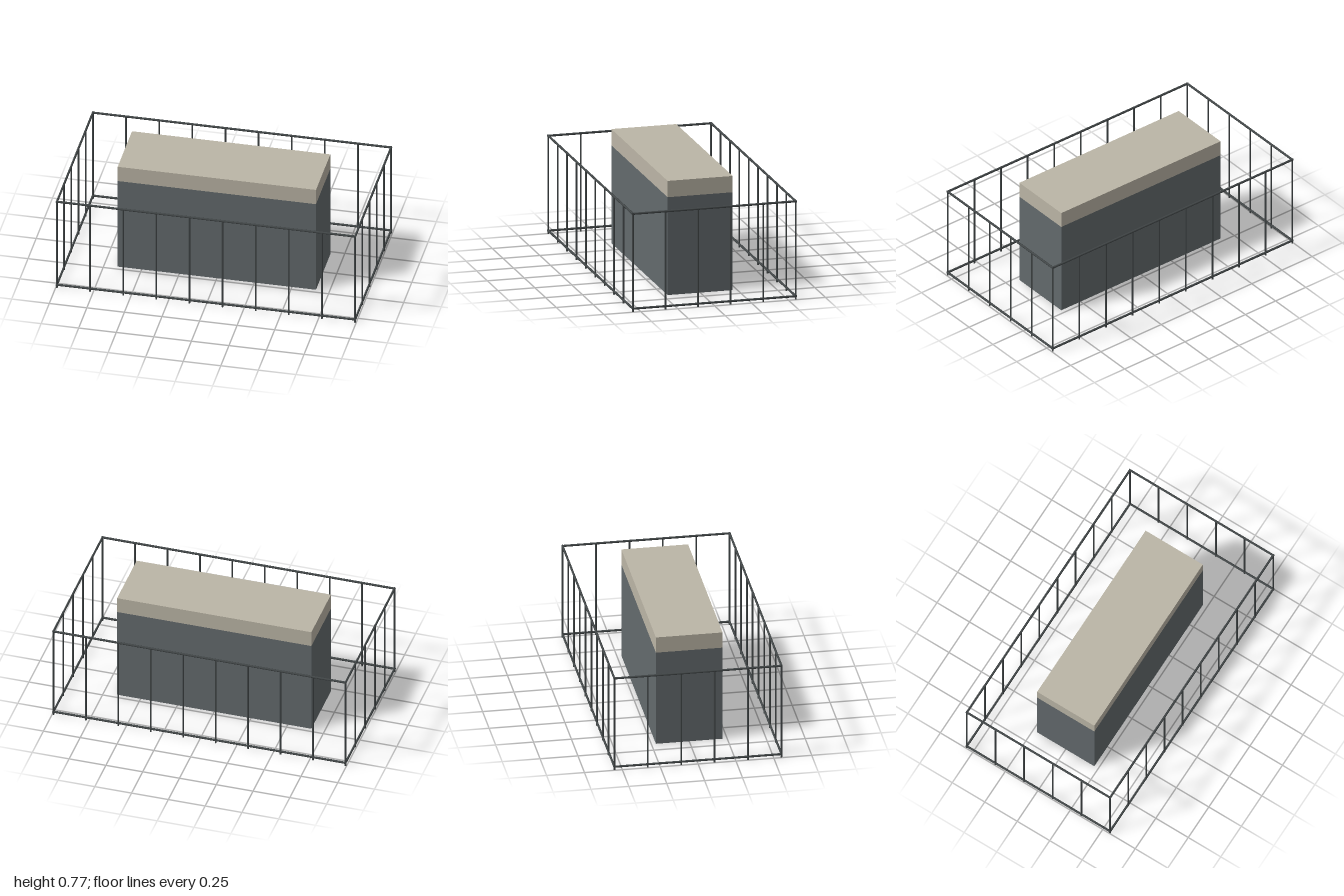
import * as THREE from 'three';

const railColor = new THREE.MeshStandardMaterial({ name: 'dark metal', color: 0x424748 });
const wallColor = new THREE.MeshStandardMaterial({ name: 'slate grey', color: 0x636a6d, side: THREE.DoubleSide });
const capColor = new THREE.MeshStandardMaterial({ name: 'warm stone', color: 0xbbb5a6, side: THREE.DoubleSide });

const STEP = 0.2205;                 // distance between posts
const HX = STEP * 4.5, HZ = STEP * 2.5; // half size of the fence
const TOP = 0.662;

export function createModel() {
  const model = new THREE.Group();
  model.name = 'fencedBlock';

  const add = (parent, name, geometry, material, x, y, z) => {
    const mesh = new THREE.Mesh(geometry, material);
    mesh.name = name;
    mesh.position.set(x, y, z);
    parent.add(mesh);
    return mesh;
  };

  // Four walls without floor; the lid is optional
  const shell = (height, closed) => {
    const g = new THREE.BoxGeometry(1.32, height, 0.44);
    const index = Array.from(g.index.array);
    // Box faces come as +x, -x, +y, -y, +z, -z with six indices each
    g.setIndex(index.filter((_, i) => {
      const face = Math.floor(i / 6);
      return face !== 3 && (closed || face !== 2);
    }));
    g.clearGroups();
    return g;
  };

  // Central block, open underneath, with a pale upper band
  const block = new THREE.Group();
  block.name = 'block';
  model.add(block);
  add(block, 'blockWalls', shell(0.66, false), wallColor, 0, 0.33, 0);
  add(block, 'blockCap', shell(0.11, true), capColor, 0, 0.715, 0);

  // Fence around the block
  const fence = new THREE.Group();
  fence.name = 'fence';
  model.add(fence);

  const postGeometry = new THREE.CylinderGeometry(0.006, 0.006, TOP, 8);
  const post = (x, z) => add(fence, 'post', postGeometry, railColor, x, TOP / 2, z);
  for (const s of [-1, 1]) {
    for (let i = 0; i < 10; i++) post(-HX + i * STEP, s * HZ);
    for (let i = 1; i < 5; i++) post(s * HX, -HZ + i * STEP);
  }

  // Long and short rails, low and high
  const longRail = new THREE.CylinderGeometry(0.0075, 0.0075, 2 * HX + 0.012, 8).rotateZ(Math.PI / 2);
  const shortRail = new THREE.CylinderGeometry(0.0075, 0.0075, 2 * HZ + 0.012, 8).rotateX(Math.PI / 2);
  for (const y of [0.022, TOP]) {
    for (const s of [-1, 1]) {
      add(fence, 'longRail', longRail, railColor, 0, y, s * HZ);
      add(fence, 'shortRail', shortRail, railColor, s * HX, y, 0);
    }
  }

  return model;
}
